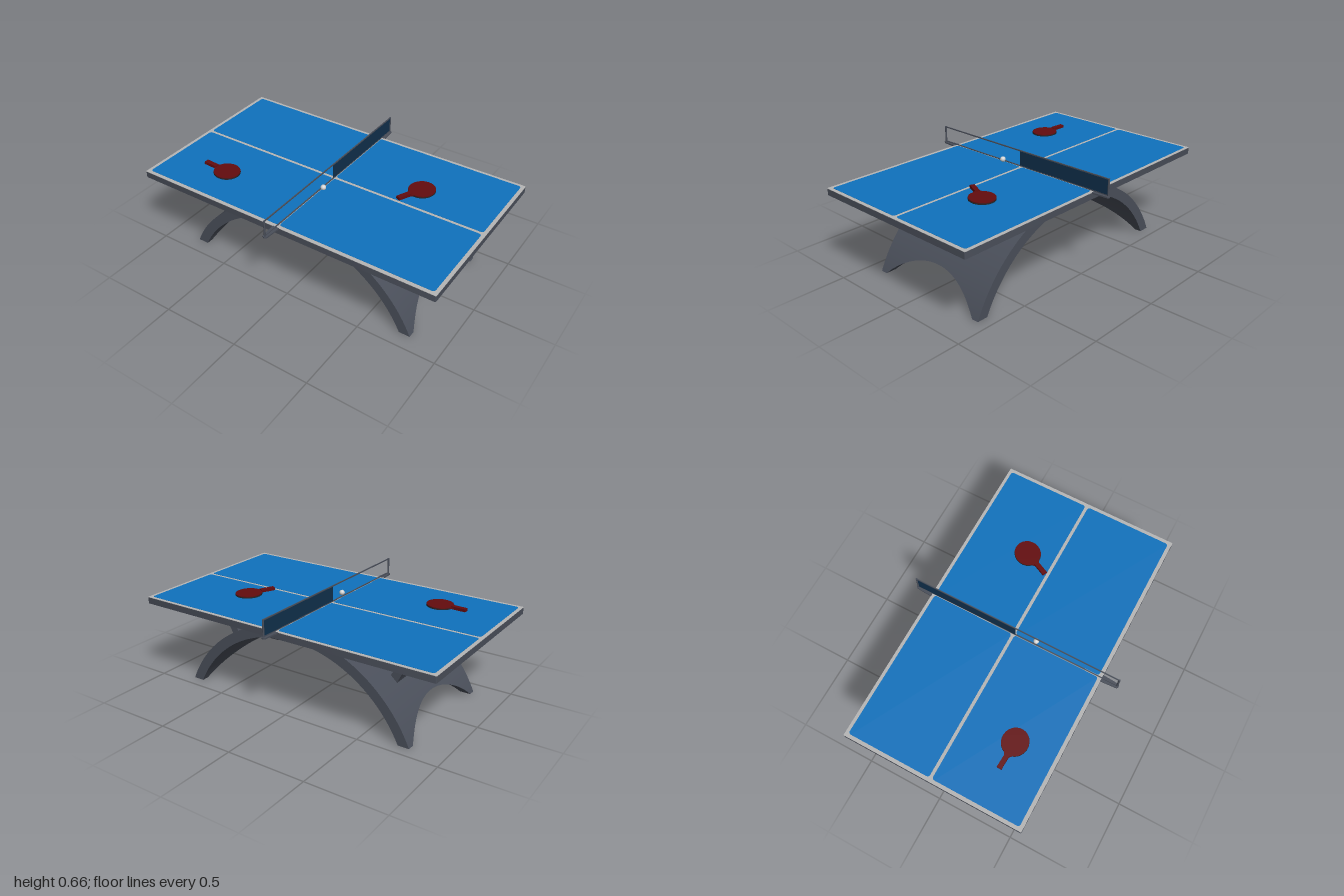
import * as THREE from 'three';
import { toCreasedNormals } from 'three/addons/utils/BufferGeometryUtils.js';

const mat = (name, color) => Object.assign(new THREE.MeshStandardMaterial({ color }), { name });

export function createModel() {
  const model = new THREE.Group();
  model.name = 'tableTennisTable';
  const grey = mat('darkGrey', 0x4a4f5a);
  const blue = mat('courtBlue', 0x0f72bd);
  const white = mat('lineWhite', 0xb6b6b6);
  const netBlue = mat('netBlue', 0x10304c);
  netBlue.side = THREE.DoubleSide;
  const red = mat('paddleRed', 0x640c0e);
  const black = mat('bladeBlack', 0x26262a);
  const ballWhite = mat('ballWhite', 0xd4d4d4);

  const MID = -0.013; // z of the centre line and the base
  const add = (parent, name, geo, material, x = 0, y = 0, z = 0) => {
    const mesh = new THREE.Mesh(geo, material);
    mesh.name = name;
    mesh.position.set(x, y, z);
    parent.add(mesh);
    return mesh;
  };
  const box = (name, m, x0, x1, y0, y1, z0, z1) => add(model, name,
    new THREE.BoxGeometry(x1 - x0, y1 - y0, z1 - z0), m, (x0 + x1) / 2, (y0 + y1) / 2, (z0 + z1) / 2);
  // Extrudes a front (x, y) profile along z, centred on z = 0
  const extrude = (shape, depth, curveSegments = 32) => toCreasedNormals(
    new THREE.ExtrudeGeometry(shape, { depth, bevelEnabled: false, curveSegments }).translate(0, 0, -depth / 2), 0.5);
  // Lays a shape drawn in (x, -z) flat, rising from y = 0
  const plate = (shape, height) => toCreasedNormals(
    new THREE.ExtrudeGeometry(shape, { depth: height, bevelEnabled: false, curveSegments: 12 }).rotateX(-Math.PI / 2), 0.5);
  const roundedRect = (x0, x1, z0, z1, r) => {
    const s = new THREE.Shape();
    s.moveTo(x0 + r, -z1).lineTo(x1 - r, -z1).quadraticCurveTo(x1, -z1, x1, -z1 + r);
    s.lineTo(x1, -z0 - r).quadraticCurveTo(x1, -z0, x1 - r, -z0);
    s.lineTo(x0 + r, -z0).quadraticCurveTo(x0, -z0, x0, -z0 - r);
    s.lineTo(x0, -z1 + r).quadraticCurveTo(x0, -z1, x0 + r, -z1);
    return s;
  };

  // Table top: grey rim, pale border, four blue courts above and below
  const rim = roundedRect(-1, 1, -0.572, 0.572, 0.006);
  rim.holes.push(roundedRect(-0.978, 0.978, -0.55, 0.55, 0.01));
  add(model, 'tableRim', plate(rim, 0.04), grey, 0, 0.514, 0);
  add(model, 'tableBoard', plate(roundedRect(-0.978, 0.978, -0.55, 0.55, 0.01), 0.035), white, 0, 0.519, 0);
  add(model, 'tableBorder', plate(roundedRect(-1, 1, -0.572, 0.572, 0.006), 0.003), white, 0, 0.5535, 0);
  for (const [x0, x1] of [[-0.978, -0.006], [0.006, 0.978]]) {
    for (const [z0, z1] of [[-0.552, MID - 0.01], [MID + 0.01, 0.549]]) {
      add(model, 'court', plate(roundedRect(x0, x1, z0, z1, 0.018), 0.0015), blue, 0, 0.5565, 0);
      add(model, 'courtUnderside', plate(roundedRect(x0, x1, z0, z1, 0.018), 0.0015), blue, 0, 0.5175, 0);
    }
  }

  // Base arch: full-width crown above the leg cutouts
  const CY = -0.352, RO = 0.866, RI = 0.802, CUT = 0.16, HALF = 0.415;
  const ao = Math.asin((CUT - CY) / RO), ai = Math.asin((CUT - CY) / RI);
  const crown = new THREE.Shape();
  crown.absarc(0, CY, RO, ao, Math.PI - ao, false);
  crown.absarc(0, CY, RI, Math.PI - ai, ai, true);
  add(model, 'archCrown', extrude(crown, HALF * 2, 48), grey, 0, 0, MID);

  // Arch legs: horizontal sections that widen up to the round cutout's top
  const CR = 0.508, STEPS = 16;
  const leg = (sx, sz) => {
    const pos = [], index = [];
    for (let i = 0; i <= STEPS; i++) {
      const y = CUT * (1 - (1 - i / STEPS) ** 2);
      const xo = sx * Math.sqrt(RO * RO - (y - CY) ** 2);
      const xi = sx * Math.sqrt(RI * RI - (y - CY) ** 2);
      const g = sz * Math.sqrt(Math.max(0, CR * CR - (y + CR - CUT) ** 2));
      pos.push(xi, y, g, xo, y, g, xo, y, sz * HALF, xi, y, sz * HALF);
    }
    const tri = (a, b, c) => (sx * sz > 0 ? index.push(a, c, b) : index.push(a, b, c));
    for (let i = 0; i < STEPS; i++) {
      for (let k = 0; k < 4; k++) {
        const a = i * 4 + k, b = i * 4 + (k + 1) % 4;
        tri(a, b + 4, b);
        tri(a, a + 4, b + 4);
      }
    }
    tri(0, 1, 2);
    tri(0, 2, 3);
    const geo = new THREE.BufferGeometry();
    geo.setAttribute('position', new THREE.Float32BufferAttribute(pos, 3));
    geo.setIndex(index);
    // Turn the faces outward
    const flip = geo.index.array;
    for (let i = 0; i < flip.length; i += 3) [flip[i + 1], flip[i + 2]] = [flip[i + 2], flip[i + 1]];
    return toCreasedNormals(geo, 0.5);
  };
  for (const sx of [-1, 1]) for (const sz of [-1, 1]) {
    const geo = leg(sx, sz);
    // Keep the winding outward whichever side is mirrored
    const p = geo.attributes.position, v = [0, 1, 2].map(() => new THREE.Vector3());
    let volume = 0;
    for (let i = 0; i < p.count; i += 3) {
      v.forEach((q, k) => q.fromBufferAttribute(p, i + k).sub(new THREE.Vector3(sx * 0.7, CUT, sz * 0.3)));
      volume += v[0].dot(v[1].clone().cross(v[2]));
    }
    if (volume < 0) {
      const order = Array.from({ length: p.count }, (_, i) => i - (i % 3) + [0, 2, 1][i % 3]);
      geo.setIndex(order);
      add(model, 'archLeg', toCreasedNormals(geo.toNonIndexed(), 0.5), grey, 0, 0, MID);
    } else add(model, 'archLeg', geo, grey, 0, 0, MID);
  }

  // Curved braces between arch and table
  for (const s of [-1, 1]) {
    const b = new THREE.Shape();
    b.moveTo(s * 0.865, 0.516);
    b.quadraticCurveTo(s * 0.665, 0.445, s * 0.596, 0.26);
    b.lineTo(s * 0.55, 0.29);
    b.quadraticCurveTo(s * 0.615, 0.435, s * 0.785, 0.516);
    add(model, 'brace', extrude(b, 0.458, 16), grey, 0, 0, MID);
  }

  // Net: cords along the whole width, mesh panel over the back half
  box('netPanel', netBlue, -0.002, 0.002, 0.562, 0.657, -0.664, 0);
  box('netTopCord', grey, -0.003, 0.003, 0.655, 0.662, -0.67, 0.67);
  box('netBottomCord', grey, -0.003, 0.003, 0.558, 0.564, -0.67, 0.67);
  for (const s of [-1, 1]) {
    add(model, 'netPost', new THREE.CylinderGeometry(0.006, 0.006, 0.112, 12), grey, 0, 0.606, s * 0.67);
    const c = new THREE.Shape();
    c.moveTo(-0.021, s * 0.57).lineTo(0.021, s * 0.57).lineTo(0.014, s * 0.672);
    c.quadraticCurveTo(0, s * 0.688, -0.014, s * 0.672);
    add(model, 'netClamp', plate(c, 0.009), grey, 0, 0.548, 0);
  }

  // Paddles: black blade between two rubbers, with a flared handle along -x
  const paddle = (x, z, turn) => {
    const g = new THREE.Group();
    g.name = 'paddle';
    const head = (r) => new THREE.Shape().absellipse(0, 0, 0.085 * r, 0.08 * r, 0, Math.PI * 2, false, 0);
    add(g, 'blade', plate(head(1), 0.008), black, 0, 0.001, 0);
    add(g, 'rubber', plate(head(0.99), 0.004), red, 0, 0.009, 0);
    const h = new THREE.Shape();
    h.moveTo(-0.175, -0.016).lineTo(-0.1, -0.012).lineTo(-0.06, -0.04);
    h.lineTo(-0.06, 0.04).lineTo(-0.1, 0.012).lineTo(-0.175, 0.016);
    add(g, 'neck', plate(h, 0.01), red, 0, 0.003, 0);
    add(g, 'handle', new THREE.BoxGeometry(0.092, 0.018, 0.029), red, -0.128, 0.01, 0);
    g.position.set(x, 0.558, z);
    g.rotation.y = turn;
    model.add(g);
  };
  paddle(-0.575, 0.307, -0.05);
  paddle(0.507, -0.187, 1.13);

  add(model, 'ball', new THREE.SphereGeometry(0.017, 24, 16), ballWhite, 0.017, 0.575, 0.13);
  return model;
}
